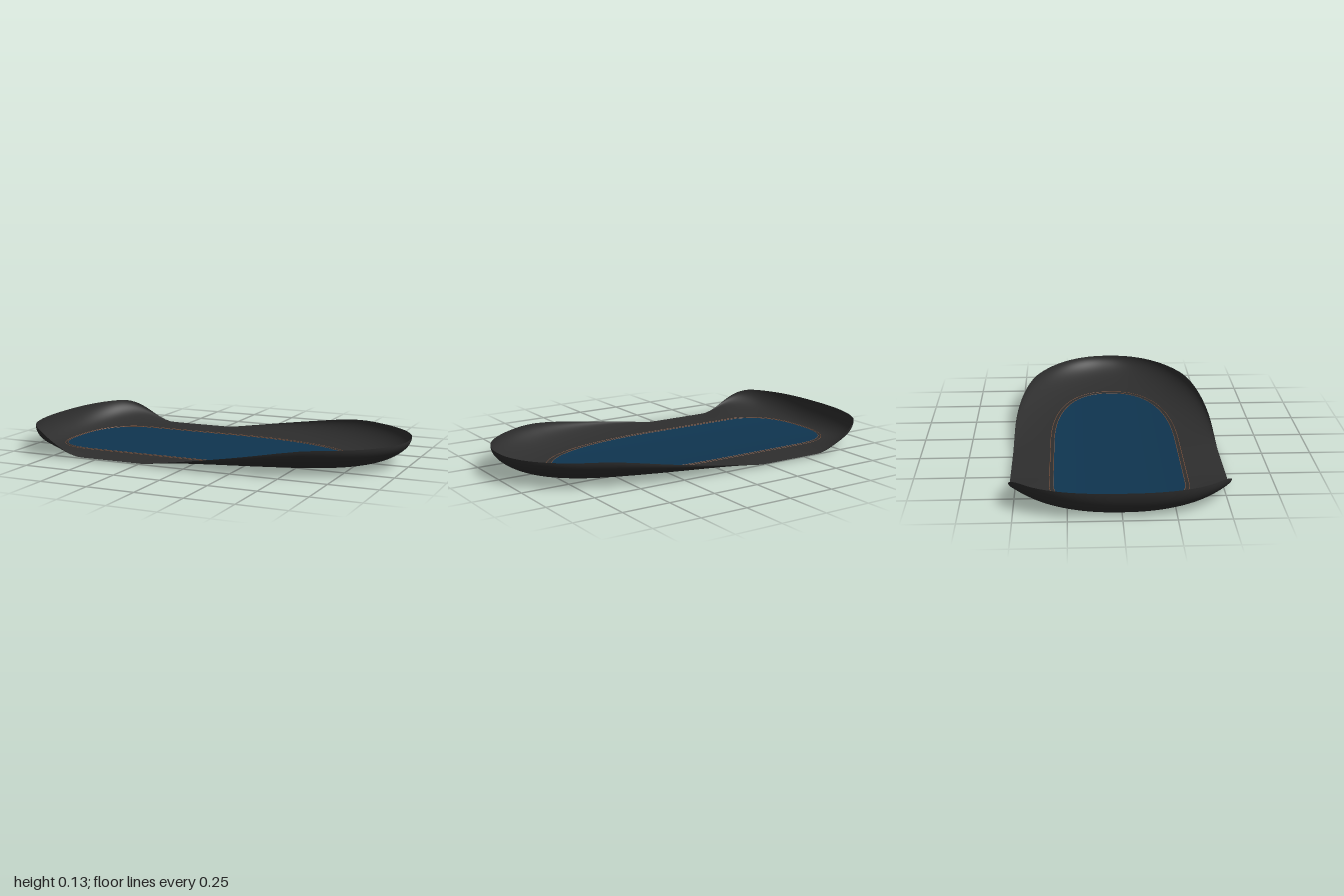
import * as THREE from 'three';

const ARC = 40, STRAIGHT = 20;
const HALF = 2 * ARC + STRAIGHT, LOOP = 2 * HALF;

// Rounded outline: long nose at +x, straight sides, blunt tail at -x
const OUTER = { nose: 1, noseStart: 0, tailStart: -0.7, tail: -1, half: 0.527, n: 2.2, m: 2.4 };
const INNER = { nose: 0.685, noseStart: -0.1, tailStart: -0.6, tail: -0.895, half: 0.318, n: 2.35, m: 2.4 };

function outline(o, i) {
  const side = i <= HALF ? 1 : -1;
  const k = i <= HALF ? i : LOOP - i;
  const arc = (a, start, end, n) => [
    start + (end - start) * Math.max(0, Math.cos(a)) ** (2 / n),
    side * o.half * Math.max(0, Math.sin(a)) ** (2 / n),
  ];
  if (k <= ARC) return arc((k / ARC) * Math.PI / 2, o.noseStart, o.nose, o.n);
  if (k < ARC + STRAIGHT) {
    return [THREE.MathUtils.lerp(o.noseStart, o.tailStart, (k - ARC) / STRAIGHT), side * o.half];
  }
  return arc(((HALF - k) / ARC) * Math.PI / 2, o.tailStart, o.tail, o.m);
}

// Height of the rim along the length: raised tail, low waist, rising nose
function rimHeight(x) {
  if (x < -0.4) return 0.01 + 0.123 * (1 - THREE.MathUtils.smoothstep(x, -0.89, -0.57));
  const keys = [[-0.4, 0.01], [-0.2, 0.01], [0, 0.04], [0.28, 0.083], [0.48, 0.115], [0.58, 0.128], [0.66, 0.133], [1.01, 0.133]];
  const j = Math.max(1, keys.findIndex((p) => p[0] >= x));
  const [a, b] = [keys[j - 1], keys[j]];
  return THREE.MathUtils.mapLinear(x, a[0], b[0], a[1], b[1]);
}

const floorHeight = (z) => 0.01 * Math.min(1, (z / 0.32) ** 2);

// Point on the curved border, t = 0 at the panel edge and 1 at the rim
function borderPoint(t, i) {
  const [xi, zi] = outline(INNER, i), [xo, zo] = outline(OUTER, i);
  const base = floorHeight(zi);
  const rise = 1 - Math.sqrt(Math.max(0, 1 - t * t));
  return new THREE.Vector3(xi + (xo - xi) * t, base + (rimHeight(xo) - base) * rise, zi + (zo - zi) * t);
}

// Point on the inner panel, r = 0 at its middle and 1 at its edge
function panelPoint(r, i) {
  const [x, z] = outline(INNER, i);
  return new THREE.Vector3(-0.1 + (x + 0.1) * r, floorHeight(z * r), z * r);
}

// Closed rings of points joined into a smooth sheet
function ringSheet(point, rings, ease) {
  const pos = [], index = [];
  for (let k = 0; k <= rings; k++) {
    for (let i = 0; i < LOOP; i++) pos.push(...point(ease(k / rings), i).toArray());
  }
  for (let k = 0; k < rings; k++) {
    for (let i = 0; i < LOOP; i++) {
      const a = k * LOOP + i, b = k * LOOP + (i + 1) % LOOP;
      index.push(a, b, a + LOOP, b, b + LOOP, a + LOOP);
    }
  }
  const g = new THREE.BufferGeometry();
  g.setAttribute('position', new THREE.Float32BufferAttribute(pos, 3));
  g.setIndex(index);
  g.computeVertexNormals();
  return g;
}

export function createModel() {
  const group = new THREE.Group();
  const add = (name, geometry, color) => {
    const mesh = new THREE.Mesh(geometry, new THREE.MeshStandardMaterial({ color, side: THREE.DoubleSide }));
    mesh.name = name;
    group.add(mesh);
  };

  // Upturned border, with rings packed closer toward the steep rim
  add('border', ringSheet(borderPoint, 24, (s) => Math.sin(s * Math.PI / 2)), 0x2e2e2e);
  add('innerPanel', ringSheet(panelPoint, 12, (s) => s), 0x0f3550);

  // Two fine seams around the panel
  [['panelSeam', 0], ['outerSeam', 0.09]].forEach(([name, t]) => {
    const points = Array.from({ length: LOOP }, (_, i) => borderPoint(t, i));
    const curve = new THREE.CatmullRomCurve3(points, true);
    add(name, new THREE.TubeGeometry(curve, 240, 0.0015, 6, true), 0x8a5a40);
  });

  return group;
}
